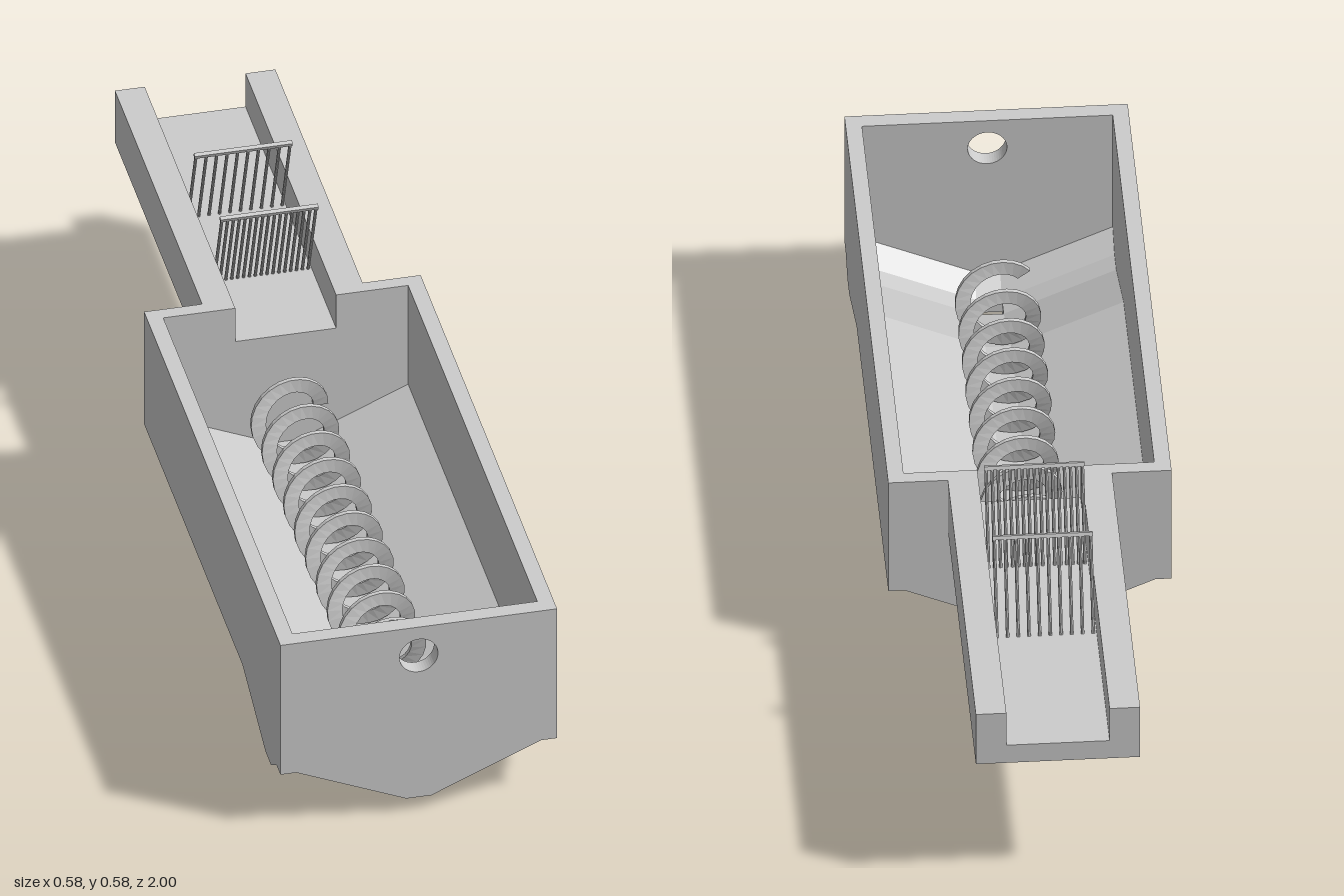
import * as THREE from 'three';

const material = new THREE.MeshStandardMaterial({ color: 0xcccccc, flatShading: true });
const TOP = 0.452, HALF = 0.288, INNER = 0.255, FLAT = 0.026, SLAB = 0.033;
// Stations along the tank: z and height of the underside at the side walls
const stations = [[-0.19, 0.175], [0.66, 0.175], [0.865, 0.1], [0.915, 0.1], [0.965, 0.133]];

function add(parent, name, geometry) {
  const mesh = new THREE.Mesh(geometry, material);
  mesh.name = name;
  parent.add(mesh);
  return mesh;
}

function shapeOf(points) {
  return new THREE.Shape(points.map(([x, y]) => new THREE.Vector2(x, y)));
}

function extrude(shape, depth) {
  return new THREE.ExtrudeGeometry(shape, { depth, bevelEnabled: false, curveSegments: 24 });
}

// Lower outline of an end wall, with a shallow V-shaped bottom
function wallBottom(s) {
  return [[-HALF, s], [-INNER, s], [-FLAT, s - 0.1], [FLAT, s - 0.1], [INNER, s], [HALF, s]];
}

function createTank() {
  const tank = new THREE.Group();
  tank.name = 'tank';

  // Front wall with the round outlet
  const front = shapeOf([...wallBottom(0.133), [HALF, TOP], [-HALF, TOP]]);
  const hole = new THREE.Path();
  hole.absarc(0, 0.382, 0.04, 0, Math.PI * 2, true);
  front.holes.push(hole);
  add(tank, 'frontWall', extrude(front, 0.035)).position.z = 0.965;

  // Back wall notched for the channel
  const back = shapeOf([...wallBottom(0.175), [HALF, TOP], [0.105, TOP], [0.105, 0.37],
    [-0.105, 0.37], [-0.105, TOP], [-HALF, TOP]]);
  add(tank, 'backWall', extrude(back, 0.03)).position.z = -0.22;

  // Side walls, drawn in profile and turned to run along z
  const side = shapeOf([...stations.map(([z, s]) => [-z, s]), [-0.965, TOP], [0.19, TOP]].reverse());
  for (const [name, x] of [['leftWall', INNER], ['rightWall', -HALF]]) {
    const geometry = extrude(side, HALF - INNER);
    geometry.rotateY(Math.PI / 2);
    add(tank, name, geometry).position.x = x;
  }

  // Sloping floor: sheared slabs, leaving out the cell of the drain
  const columns = [[-INNER, 0], [-FLAT, -0.1], [FLAT, -0.1], [INNER, 0]];
  for (let i = 0; i < 3; i++) {
    for (let k = 0; k < 4; k++) {
      if (i === 1 && k === 2) continue;
      const geometry = new THREE.BoxGeometry(1, 1, 1);
      const p = geometry.attributes.position;
      for (let v = 0; v < p.count; v++) {
        const [x, drop] = columns[i + (p.getX(v) > 0 ? 1 : 0)];
        const [z, s] = stations[k + (p.getZ(v) > 0 ? 1 : 0)];
        p.setXYZ(v, x, s + drop + (p.getY(v) > 0 ? SLAB : 0), z);
      }
      geometry.computeVertexNormals();
      add(tank, 'floorPanel', geometry);
    }
  }
  return tank;
}

// Spiral flight: a rectangular section swept along a helix
function createScrew() {
  const turns = 9.4, steps = 226, z0 = -0.183, length = 0.916;
  const section = [[0.055, -0.005], [0.086, -0.005], [0.086, 0.005], [0.055, 0.005]];
  const positions = [], index = [];
  for (let i = 0; i <= steps; i++) {
    const a = (i / steps) * turns * Math.PI * 2;
    for (const [r, dz] of section) {
      positions.push(r * Math.cos(a), r * Math.sin(a), z0 + (i / steps) * length + dz);
    }
  }
  for (let i = 0; i < steps; i++) {
    for (let j = 0; j < 4; j++) {
      const a = i * 4 + j, b = i * 4 + (j + 1) % 4;
      index.push(a, a + 4, b, b, a + 4, b + 4);
    }
  }
  const e = steps * 4;
  index.push(0, 1, 2, 0, 2, 3, e, e + 2, e + 1, e, e + 3, e + 2);
  const geometry = new THREE.BufferGeometry();
  geometry.setAttribute('position', new THREE.Float32BufferAttribute(positions, 3));
  geometry.setIndex(index);
  geometry.computeVertexNormals();
  const mesh = new THREE.Mesh(geometry, material.clone());
  mesh.material.side = THREE.DoubleSide;
  mesh.name = 'screwConveyor';
  mesh.position.y = 0.195;
  return mesh;
}

// Leaning bar screen standing on the channel floor
function createScreen(name, z, count, radius) {
  const screen = new THREE.Group();
  screen.name = name;
  const height = 0.213;
  for (let i = 0; i < count; i++) {
    const bar = add(screen, 'screenBar', new THREE.CylinderGeometry(radius, radius, height, 8));
    bar.position.set(-0.098 + (0.196 * i) / (count - 1), height / 2, 0);
  }
  add(screen, 'topRail', new THREE.BoxGeometry(0.204, 0.008, 0.009)).position.y = height;
  screen.position.set(0, 0.37, z);
  screen.rotation.x = 0.343;
  return screen;
}

export function createModel() {
  const model = new THREE.Group();
  model.name = 'settlingTank';
  model.add(createTank(), createScrew());

  // Open inlet channel
  const channel = shapeOf([[-0.167, 0.325], [0.167, 0.325], [0.167, TOP], [0.105, TOP],
    [0.105, 0.37], [-0.105, 0.37], [-0.105, TOP], [-0.167, TOP]]);
  add(model, 'inletChannel', extrude(channel, 0.78)).position.z = -1;

  model.add(createScreen('coarseScreen', -0.642, 10, 0.0035));
  model.add(createScreen('fineScreen', -0.41, 17, 0.0035));
  return model;
}
